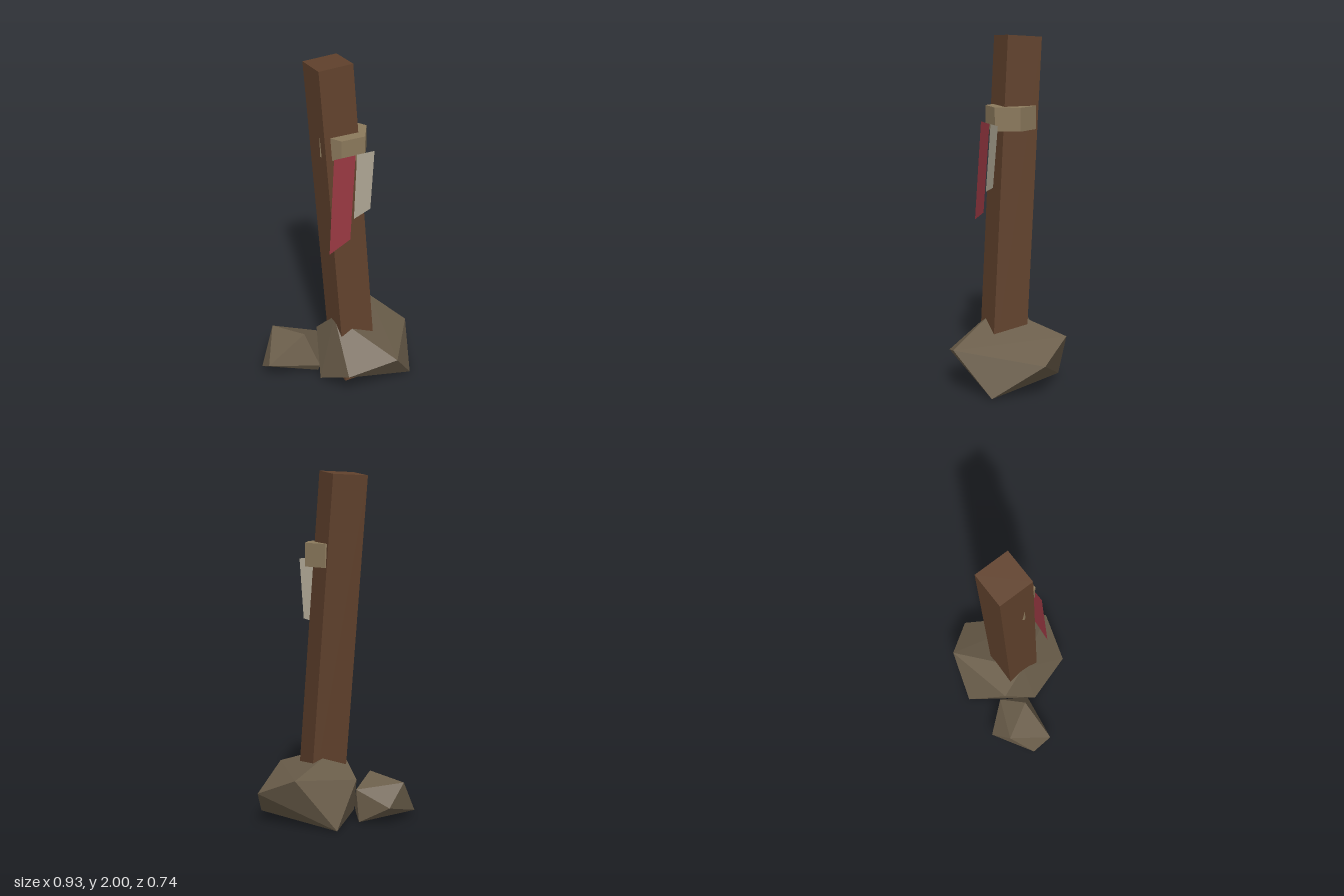
import * as THREE from 'three';
import { ConvexGeometry } from 'three/addons/geometries/ConvexGeometry.js';

const material = (name, color, extra = {}) => {
  const m = new THREE.MeshStandardMaterial({ color, ...extra });
  m.name = name;
  return m;
};
const vec = (p) => new THREE.Vector3(...p);

export function createModel() {
  const group = new THREE.Group();
  const wood = material('wood', 0x60412c);
  const stone = material('stone', 0x6a5d4a);
  const rope = material('rope', 0x8b795c);
  const redCloth = material('redCloth', 0x983842, { side: THREE.DoubleSide });
  const paleCloth = material('paleCloth', 0xaca492, { side: THREE.DoubleSide });

  const add = (name, geometry, mat) => {
    const mesh = new THREE.Mesh(geometry, mat);
    mesh.name = name;
    group.add(mesh);
    return mesh;
  };

  // Leaning square post
  const foot = vec([0.05, 0.01, 0.025]);
  const head = vec([-0.043, 1.99, -0.113]);
  const axis = head.clone().sub(foot);
  const post = add('post', new THREE.BoxGeometry(0.207, axis.length(), 0.207), wood);
  post.position.copy(foot).add(head).multiplyScalar(0.5);
  post.quaternion.setFromUnitVectors(new THREE.Vector3(0, 1, 0), axis.normalize());

  // Six-sided binding, upright around the leaning post
  const band = add('binding', new THREE.CylinderGeometry(0.145, 0.145, 0.133, 6).toNonIndexed(), rope);
  band.geometry.rotateY(Math.PI / 6);
  band.geometry.computeVertexNormals();
  band.position.set(0.017, 1.537, -0.044);

  // Faceted rocks: convex hulls of a few corners
  const rock = (name, corners) => add(name, new ConvexGeometry(corners.map(vec)), stone);
  rock('largeRock', [
    [-0.065, 0.41, 0], [0.17, 0.25, 0.367], [-0.11, 0.165, 0.29],
    [0.463, 0.19, -0.07], [0.31, 0.3, -0.27], [-0.105, 0.24, -0.17],
    [0.35, 0, 0.205], [-0.17, 0, 0.02], [0.08, 0, -0.328],
  ]);
  rock('smallRock', [
    [-0.22, 0.265, -0.1], [-0.463, 0.115, -0.085], [-0.34, 0.235, -0.31],
    [-0.225, 0.11, -0.368], [-0.458, 0.03, -0.21], [-0.09, 0.19, -0.2],
    [-0.15, 0.055, -0.027], [-0.15, 0, -0.06], [-0.1, 0, -0.22],
  ]);

  // Hanging cloth strips: corners run lower left, lower right, upper right, upper left
  const strip = (name, corners, mat) => {
    const g = new THREE.BufferGeometry();
    const [a, b, c, d] = corners;
    g.setAttribute('position', new THREE.Float32BufferAttribute([a, b, c, a, c, d].flat(), 3));
    g.computeVertexNormals();
    add(name, g, mat);
  };
  strip('redStrip', [
    [-0.147, 0.925, 0.112], [-0.015, 0.99, 0.11], [0.027, 1.505, 0.089], [-0.105, 1.505, 0.089],
  ], redCloth);
  strip('paleStrip', [
    [0.01, 1.115, 0.105], [0.115, 1.155, 0.103], [0.146, 1.505, 0.086], [0.037, 1.505, 0.086],
  ], paleCloth);

  return group;
}
